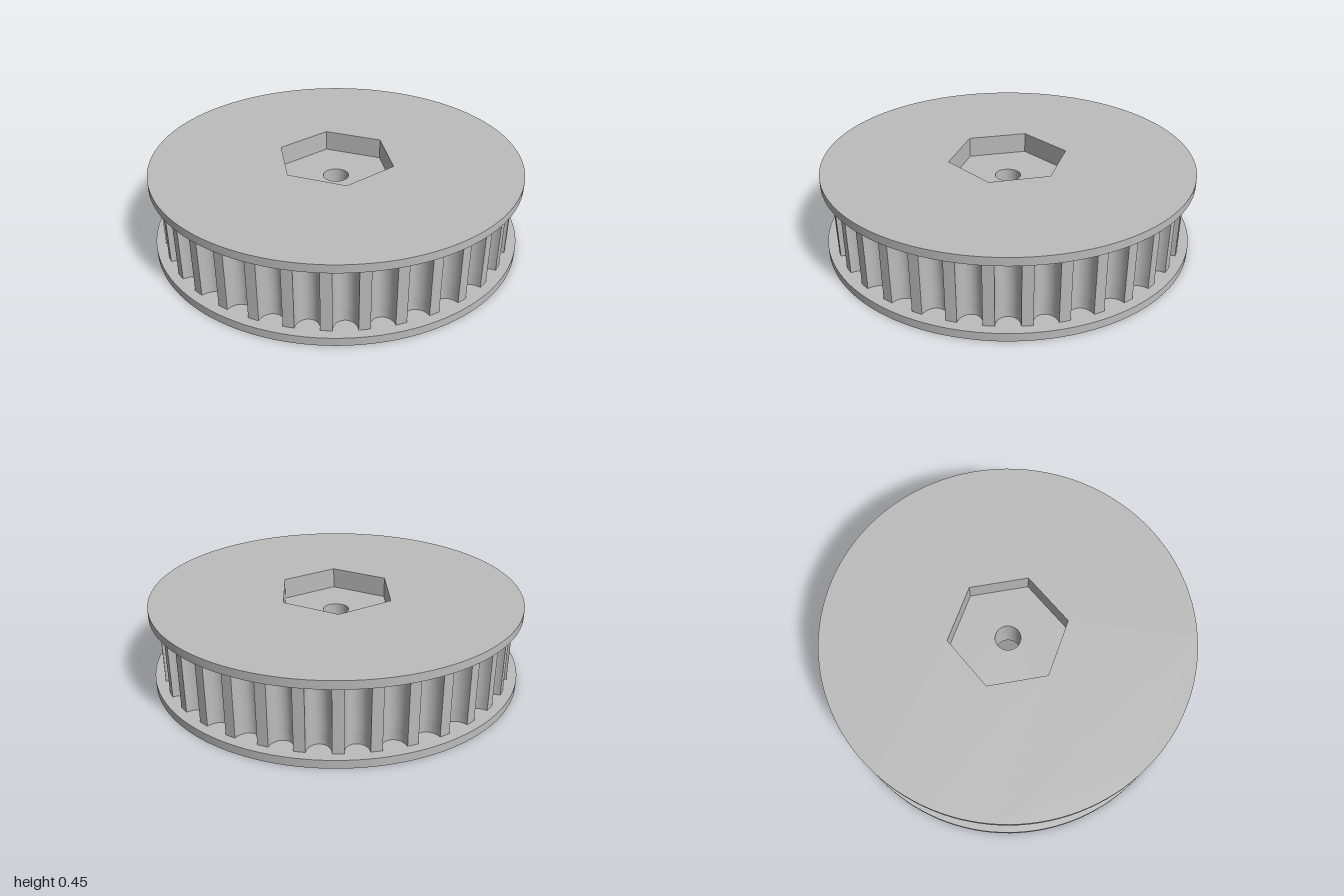
import * as THREE from 'three';
import { toCreasedNormals } from 'three/addons/utils/BufferGeometryUtils.js';

const HEIGHT = 0.448;
const FLANGE = 0.044;
const POCKET = 0.113;   // depth of the hexagonal nut pockets
const TEETH = 34;

// Hexagon outline with corners on the z axis
function hexHole() {
  const points = [];
  for (let i = 0; i < 6; i++) {
    const a = Math.PI / 2 + (i * Math.PI) / 3;
    points.push(new THREE.Vector2(0.325 * Math.cos(a), 0.325 * Math.sin(a)));
  }
  return new THREE.Path(points);
}

function boreHole() {
  return new THREE.Path().absarc(0, 0, 0.07, 0, Math.PI * 2, true);
}

function discShape() {
  return new THREE.Shape().absarc(0, 0, 1, 0, Math.PI * 2, false);
}

// Toothed outline: narrow lands separated by rounded grooves
function toothedShape() {
  const radius = 0.95, halfWidth = 0.06, depth = 0.072, steps = 14;
  const rim = Math.sqrt(radius * radius - halfWidth * halfWidth);
  const points = [];
  for (let i = 0; i < TEETH; i++) {
    const a = Math.PI / 2 + (i * Math.PI * 2) / TEETH;
    const c = Math.cos(a), s = Math.sin(a);
    for (let j = 0; j <= steps; j++) {
      const u = (j / steps) * Math.PI;
      const t = -halfWidth * Math.cos(u);
      const r = rim - depth * Math.sin(u);
      points.push(new THREE.Vector2(r * c - t * s, r * s + t * c));
    }
    // Middle of the land
    const m = a + Math.PI / TEETH;
    points.push(new THREE.Vector2(radius * Math.cos(m), radius * Math.sin(m)));
  }
  return new THREE.Shape(points);
}

export function createModel() {
  const group = new THREE.Group();
  group.name = 'toothedPulley';
  const grey = new THREE.MeshStandardMaterial({ color: 0xbcbcbc });
  grey.name = 'grey';

  // Horizontal slab between two heights
  function addLayer(name, shape, hole, y0, y1) {
    shape.holes.push(hole);
    let geometry = new THREE.ExtrudeGeometry(shape, {
      depth: y1 - y0, bevelEnabled: false, curveSegments: 64,
    });
    geometry.rotateX(-Math.PI / 2);
    geometry = toCreasedNormals(geometry, 0.5);
    const mesh = new THREE.Mesh(geometry, grey);
    mesh.name = name;
    mesh.position.y = y0;
    group.add(mesh);
  }

  // Flanges, pierced by the nut pockets
  addLayer('lowerFlange', discShape(), hexHole(), 0, FLANGE);
  addLayer('upperFlange', discShape(), hexHole(), HEIGHT - FLANGE, HEIGHT);

  // Toothed drum: pockets at both ends, a narrow bore through the middle
  addLayer('lowerDrum', toothedShape(), hexHole(), FLANGE, POCKET);
  addLayer('middleDrum', toothedShape(), boreHole(), POCKET, HEIGHT - POCKET);
  addLayer('upperDrum', toothedShape(), hexHole(), HEIGHT - POCKET, HEIGHT - FLANGE);

  return group;
}
